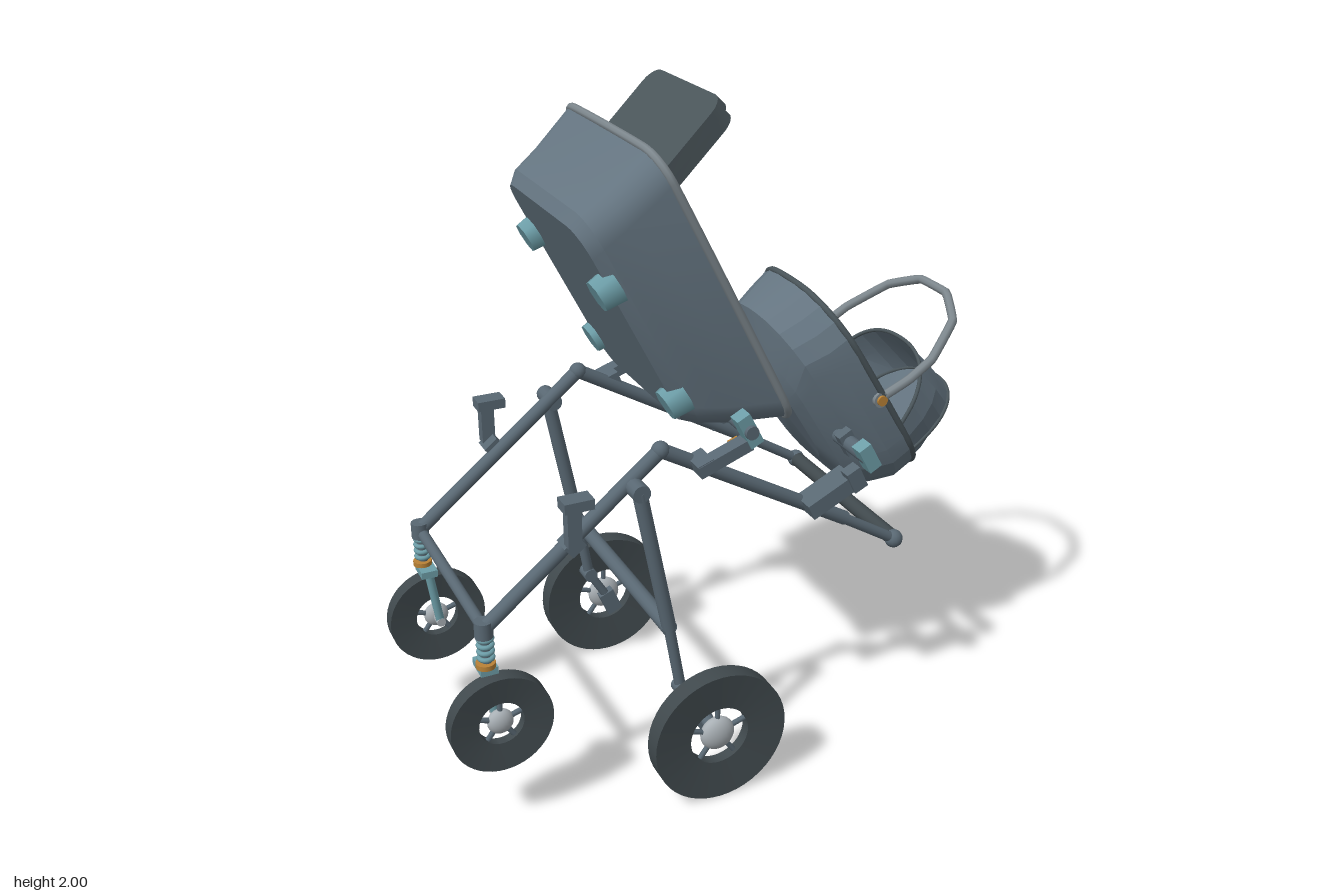
import * as THREE from 'three';
import { toCreasedNormals } from 'three/addons/utils/BufferGeometryUtils.js';

const mat = (name, color, side = THREE.FrontSide) => {
  const m = new THREE.MeshStandardMaterial({ color, side });
  m.name = name;
  return m;
};
const V = (x, y, z) => new THREE.Vector3(x, y, z);

// Rounded rectangle loop in the XZ plane
function loop(y, x0, x1, w, r, seg = 5) {
  const pts = [];
  const rr = Math.min(r, w, (x1 - x0) / 2);
  const corners = [[x1 - rr, w - rr], [x0 + rr, w - rr], [x0 + rr, rr - w], [x1 - rr, rr - w]];
  corners.forEach(([cx, cz], k) => {
    for (let i = 0; i <= seg; i++) {
      const a = (k + i / seg) * Math.PI / 2;
      pts.push(V(cx + rr * Math.cos(a), y, cz + rr * Math.sin(a)));
    }
  });
  return pts;
}

// Skin across a list of equal-length point loops
function skin(rings, closed = true, crease = 0.5) {
  const n = rings[0].length, idx = [], pos = rings.flat().flatMap(p => [p.x, p.y, p.z]);
  for (let k = 0; k < rings.length - 1; k++)
    for (let i = 0; i < (closed ? n : n - 1); i++) {
      const a = k * n + i, b = k * n + (i + 1) % n;
      idx.push(a, a + n, b, b, a + n, b + n);
    }
  const g = new THREE.BufferGeometry();
  g.setAttribute('position', new THREE.Float32BufferAttribute(pos, 3));
  g.setIndex(idx);
  return toCreasedNormals(g, crease);
}
const collapse = (ring) => {
  const c = ring.reduce((s, p) => s.add(p), V(0, 0, 0)).divideScalar(ring.length);
  return ring.map(() => c.clone());
};
// Hollow open tub from [y, x0, x1, halfWidth, radius] sections
function tubGeometry(sections, t, crease) {
  const outer = sections.map(s => loop(...s));
  const inner = sections.map(([y, a, b, w, r], i) =>
    loop(i === sections.length - 1 ? y : y + t, a + t, b - t, w - t, r - t)).reverse();
  return skin([collapse(outer[0]), ...outer, ...inner, collapse(inner[inner.length - 1])], true, crease);
}
// Solid plate with rounded corners
function plateGeometry(x0, x1, w, r, y0, y1) {
  const a = loop(y0, x0, x1, w, r), b = loop(y1, x0, x1, w, r);
  return skin([collapse(a), a, b, collapse(b)]);
}

export function createModel() {
  const root = new THREE.Group();
  const M = {
    frame: mat('slate frame', 0x596873),
    shell: mat('blue grey shell', 0x647480, THREE.DoubleSide),
    tyre: mat('dark rubber', 0x40494d),
    pad: mat('charcoal pad', 0x4a555a),
    rim: mat('grey trim', 0x7d878d),
    hub: mat('light hub', 0xa9b0b5),
    teal: mat('teal fitting', 0x6d9ea8),
    strap: mat('orange strap', 0xb98236),
    cream: mat('cream cushion', 0xc6c2b2),
  };
  const add = (name, geo, m, parent = root) => {
    const mesh = new THREE.Mesh(geo, m);
    mesh.name = name;
    parent.add(mesh);
    return mesh;
  };
  const rod = (name, p, q, r, m, parent = root, sides = 14) => {
    const a = V(...p), b = V(...q), d = b.clone().sub(a);
    const mesh = add(name, new THREE.CylinderGeometry(r, r, d.length(), sides), m, parent);
    mesh.position.copy(a).add(b).multiplyScalar(0.5);
    mesh.quaternion.setFromUnitVectors(V(0, 1, 0), d.normalize());
    return mesh;
  };
  const box = (name, x, y, z, w, h, d, rot, m, parent = root) => {
    const mesh = add(name, new THREE.BoxGeometry(w, h, d), m, parent);
    mesh.position.set(x, y, z);
    mesh.rotation.z = rot;
    return mesh;
  };
  const tube = (name, pts, r, m, closed = false, parent = root, type = 'centripetal') => {
    const c = new THREE.CatmullRomCurve3(pts, closed, type, 0.1);
    return add(name, new THREE.TubeGeometry(c, pts.length * 5, r, 8, closed), m, parent);
  };
  const tilted = (name, x, y, angle) => {
    const g = new THREE.Group();
    g.name = name;
    g.position.set(x, y, 0);
    g.rotation.z = angle;
    root.add(g);
    return g;
  };

  // Wheels: slightly dished tyre ring, spokes and domed hub
  function wheel(name, x, y, z, R, ri, w) {
    const g = new THREE.Group();
    g.name = name;
    g.position.set(x, y, z);
    root.add(g);
    const h = w / 2, hi = h * 0.6;
    const prof = [[ri, -hi], [R, -h], [R, h], [ri, hi], [ri, -hi]];
    const geo = new THREE.LatheGeometry(prof.map(p => new THREE.Vector2(...p)), 48);
    add('tyre', toCreasedNormals(geo, 0.6), M.tyre, g).rotation.x = Math.PI / 2;
    for (let i = 0; i < 5; i++) {
      const a = i * Math.PI * 0.4 + 0.3;
      rod('spoke', [0, 0, 0], [ri * 1.05 * Math.cos(a), ri * 1.05 * Math.sin(a), 0], 0.008, M.frame, g, 8);
    }
    add('hub', new THREE.SphereGeometry(ri * 0.58, 20, 14), M.hub, g).scale.z = h / (ri * 0.58);
  }

  for (const s of [1, -1]) {
    wheel('largeWheel', -0.11, 0.207, 0.435 * s, 0.207, 0.092, 0.058);
    wheel('smallWheel', -0.72, 0.353, 0.308 * s, 0.15, 0.066, 0.048);

    // Side rails
    const z = 0.305 * s;
    rod('frontRail', [-0.75, 0.66, z], [-0.225, 1.085, z], 0.021, M.frame);
    rod('rearRail', [-0.225, 1.085, z], [0.37, 0.74, z], 0.021, M.frame);
    rod('handleExtension', [0.35, 0.75, z], [0.545, 0.63, z], 0.016, M.frame);
    add('railJoint', new THREE.SphereGeometry(0.026, 14, 10), M.frame).position.set(-0.225, 1.085, z);
    add('handleEnd', new THREE.SphereGeometry(0.028, 14, 10), M.frame).position.set(0.545, 0.63, z);

    // Large wheel leg and axle
    const zl = 0.355 * s;
    rod('legPivot', [-0.31, 1.0, 0.29 * s], [-0.31, 1.0, 0.375 * s], 0.026, M.frame);
    rod('upperLeg', [-0.31, 1.0, zl], [-0.225, 0.55, zl], 0.021, M.frame);
    rod('lowerLeg', [-0.225, 0.55, zl], [-0.19, 0.34, zl], 0.016, M.frame);
    rod('legKnob', [-0.19, 0.34, 0.335 * s], [-0.19, 0.34, 0.385 * s], 0.022, M.frame);
    rod('axleArm', [-0.19, 0.34, zl], [-0.11, 0.207, zl], 0.014, M.frame);
    box('axleBlock', -0.12, 0.22, zl, 0.05, 0.08, 0.03, 0.4, M.frame);
    rod('axle', [-0.11, 0.207, 0.34 * s], [-0.11, 0.207, 0.43 * s], 0.02, M.frame);

    // Caster spring and single-sided fork
    rod('casterHead', [-0.75, 0.685, z], [-0.75, 0.635, z], 0.026, M.frame);
    rod('casterPost', [-0.75, 0.65, z], [-0.745, 0.52, z], 0.014, M.frame);
    for (let i = 0; i < 4; i++) {
      const ring = add('spring', new THREE.TorusGeometry(0.019, 0.007, 8, 18), M.teal);
      ring.position.set(-0.748, 0.63 - i * 0.02, z);
      ring.rotation.x = Math.PI / 2;
    }
    rod('casterCollar', [-0.75, 0.555, z], [-0.75, 0.54, z], 0.028, M.strap);
    box('forkCrown', -0.745, 0.53, 0.285 * s, 0.05, 0.022, 0.075, 0, M.teal);
    rod('fork', [-0.745, 0.53, 0.263 * s], [-0.72, 0.353, 0.263 * s], 0.013, M.teal);
    rod('casterAxle', [-0.72, 0.353, 0.25 * s], [-0.72, 0.353, z], 0.014, M.hub);

    // Accessory bracket
    box('bracketStem', -0.505, 0.95, 0.36 * s, 0.04, 0.13, 0.035, 0, M.frame);
    box('bracketTop', -0.493, 1.01, 0.36 * s, 0.085, 0.03, 0.055, 0, M.frame);
    box('bracketFoot', -0.5, 0.88, 0.335 * s, 0.05, 0.04, 0.06, 0.68, M.frame);

    // Tub mount
    box('tubMountArm', -0.06, 1.055, 0.355 * s, 0.165, 0.035, 0.045, 0.35, M.frame);
    box('tubMountClamp', -0.115, 1.035, 0.335 * s, 0.05, 0.04, 0.08, 0.35, M.frame);
    box('tubMountButton', 0.0, 1.06, 0.31 * s, 0.03, 0.025, 0.03, 0.35, M.strap);
    box('tubConnector', 0.01, 1.125, 0.36 * s, 0.042, 0.1, 0.045, 0.47, M.teal);
    rod('tubPin', [0.01, 1.125, 0.26 * s], [0.01, 1.125, 0.395 * s], 0.02, M.frame);

    // Carrier mount
    box('carrierMountArm', 0.29, 0.855, 0.33 * s, 0.16, 0.05, 0.08, 0.45, M.frame);
    box('carrierMountStep', 0.36, 0.9, 0.36 * s, 0.045, 0.07, 0.04, 0.45, M.frame);
    box('carrierMountButton', 0.37, 0.845, 0.295 * s, 0.025, 0.02, 0.03, 0.45, M.strap);
    box('carrierConnector', 0.395, 0.965, 0.365 * s, 0.042, 0.085, 0.045, 0.5, M.teal);
    rod('carrierPin', [0.4, 0.96, 0.2 * s], [0.4, 0.96, 0.37 * s], 0.024, M.frame);
    box('carrierLatch', 0.4, 0.96, 0.25 * s, 0.045, 0.075, 0.03, 0.5, M.frame);
  }

  // Cross bars
  rod('frontCrossBar', [-0.745, 0.65, -0.3], [-0.745, 0.65, 0.3], 0.017, M.frame);
  rod('legCrossBar', [-0.225, 0.55, -0.36], [-0.225, 0.55, 0.36], 0.023, M.frame);
  rod('pushHandle', [0.545, 0.63, -0.29], [0.545, 0.63, 0.29], 0.024, M.tyre);

  // Large tub, open side along its local +y
  const tub = tilted('tub', -0.235, 1.905, -1.1);
  add('tubShell', tubGeometry([
    [-0.265, 0.08, 0.74, 0.285, 0.08], [-0.23, 0.055, 0.775, 0.305, 0.09],
    [-0.15, 0.04, 0.83, 0.315, 0.09], [0, 0, 0.91, 0.338, 0.09]], 0.014, 0.4), M.shell, tub);
  tube('tubRim', loop(0, 0.004, 0.906, 0.334, 0.09), 0.012, M.rim, true, tub);
  for (const s of [1, -1]) for (const [u, n] of [[0.26, -0.27], [0.65, -0.255]])
    add('tubFoot', new THREE.CylinderGeometry(0.054, 0.046, 0.06, 8), M.teal, tub).position.set(u, n, 0.27 * s);

  // Toddler seat: overhanging back in two layers, and cushion
  const back = tilted('seatBack', -0.31, 1.69, Math.PI / 4);
  add('backPanel', plateGeometry(0, 0.438, 0.218, 0.05, -0.034, 0), M.pad, back);
  add('backCushion', plateGeometry(0.02, 0.43, 0.205, 0.05, -0.071, -0.038), M.pad, back);
  const seat = tilted('seat', -0.28, 1.68, -0.57);
  add('seatCushion', plateGeometry(0, 0.315, 0.215, 0.05, -0.13, 0), M.shell, seat);
  tube('bumperBar', [V(-0.17, 1.64, 0.2), V(-0.08, 1.63, 0.205), V(-0.01, 1.53, 0.195), V(0, 1.49, 0.15),
    V(0, 1.49, -0.15), V(-0.01, 1.53, -0.195), V(-0.08, 1.63, -0.205), V(-0.17, 1.64, -0.2)], 0.012, M.rim);
  box('seatBuckle', -0.04, 1.532, 0, 0.04, 0.03, 0.05, -0.57, M.strap);
  for (const s of [1, -1]) {
    rod('shoulderStrap', [-0.02, 1.87, 0.1 * s], [-0.2, 1.685, 0.05 * s], 0.01, M.strap, root, 6);
    rod('chestStrap', [-0.2, 1.685, 0.05 * s], [-0.04, 1.535, 0], 0.01, M.strap, root, 6);
    rod('waistStrap', [-0.15, 1.63, 0.2 * s], [-0.04, 1.535, 0], 0.01, M.strap, root, 6);
  }

  // Infant carrier, open side along its local +y
  const pod = tilted('carrier', 0.325, 1.4, -1.028);
  add('carrierShell', tubGeometry([
    [-0.225, 0.17, 0.55, 0.13, 0.12], [-0.2, 0.115, 0.65, 0.175, 0.15], [-0.145, 0.01, 0.715, 0.215, 0.19],
    [-0.07, 0.005, 0.745, 0.24, 0.2], [0, 0, 0.736, 0.25, 0.2]], 0.014, 0.25), M.shell, pod);
  tube('carrierRim', loop(0, 0.004, 0.732, 0.246, 0.2), 0.01, M.pad, true, pod);
  add('headCushion', plateGeometry(0.07, 0.46, 0.175, 0.12, -0.13, -0.085), M.cream, pod);
  add('footCushion', plateGeometry(0.42, 0.705, 0.165, 0.12, -0.12, -0.07), M.cream, pod);
  add('seatPad', plateGeometry(0.43, 0.68, 0.16, 0.06, -0.1, -0.055), M.shell, pod);

  // Carrier harness
  box('carrierBuckle', 0.45, 1.02, 0, 0.05, 0.05, 0.055, 0.54, M.strap);
  for (const s of [1, -1])
    rod('carrierStrap', [0.45, 1.025, 0.015 * s], [0.55, 0.985, 0.075 * s], 0.011, M.strap, root, 6);

  // Folding canopy: each bow spans from the carrier's sides to a tip on the centre line
  const bows = [
    { tip: [0.725, 1.145], end: [0.59, 0.96, 0.23] },
    { tip: [0.8, 1.067], end: [0.62, 0.91, 0.226] },
    { tip: [0.865, 0.995], end: [0.655, 0.855, 0.2] },
    { tip: [0.79, 0.885], end: [0.68, 0.815, 0.17] },
    { tip: [0.71, 0.775], end: [0.7, 0.785, 0.13] },
  ].map(({ tip, end }) => Array.from({ length: 13 }, (_, i) => {
    const a = i / 12 * Math.PI, c = Math.cos(a), f = Math.pow(Math.sin(a), 0.8);
    return V(end[0] + (tip[0] - end[0]) * f, end[1] + (tip[1] - end[1]) * f,
      end[2] * Math.sign(c) * Math.pow(Math.abs(c), 0.85));
  }));
  add('canopy', skin(bows, false, 0.2), M.shell);
  [0, 2, 4].forEach(i => tube('canopyBow', bows[i], 0.006, M.pad));

  // Carry handle, bent in straight runs
  const arm = [[0.505, 1.075, 0.245], [0.6, 1.12, 0.25], [0.68, 1.17, 0.245], [0.79, 1.25, 0.18], [0.838, 1.295, 0.07]];
  tube('carryHandle', [...arm.map(p => V(...p)), ...arm.map(([x, y, z]) => V(x, y, -z)).reverse()],
    0.014, M.rim, false, root, 'catmullrom');
  for (const s of [1, -1]) {
    rod('handlePivot', [0.505, 1.075, 0.23 * s], [0.505, 1.075, 0.258 * s], 0.024, M.rim);
    rod('handlePivotCap', [0.505, 1.075, 0.25 * s], [0.505, 1.075, 0.266 * s], 0.016, M.strap);
  }

  return root;
}
